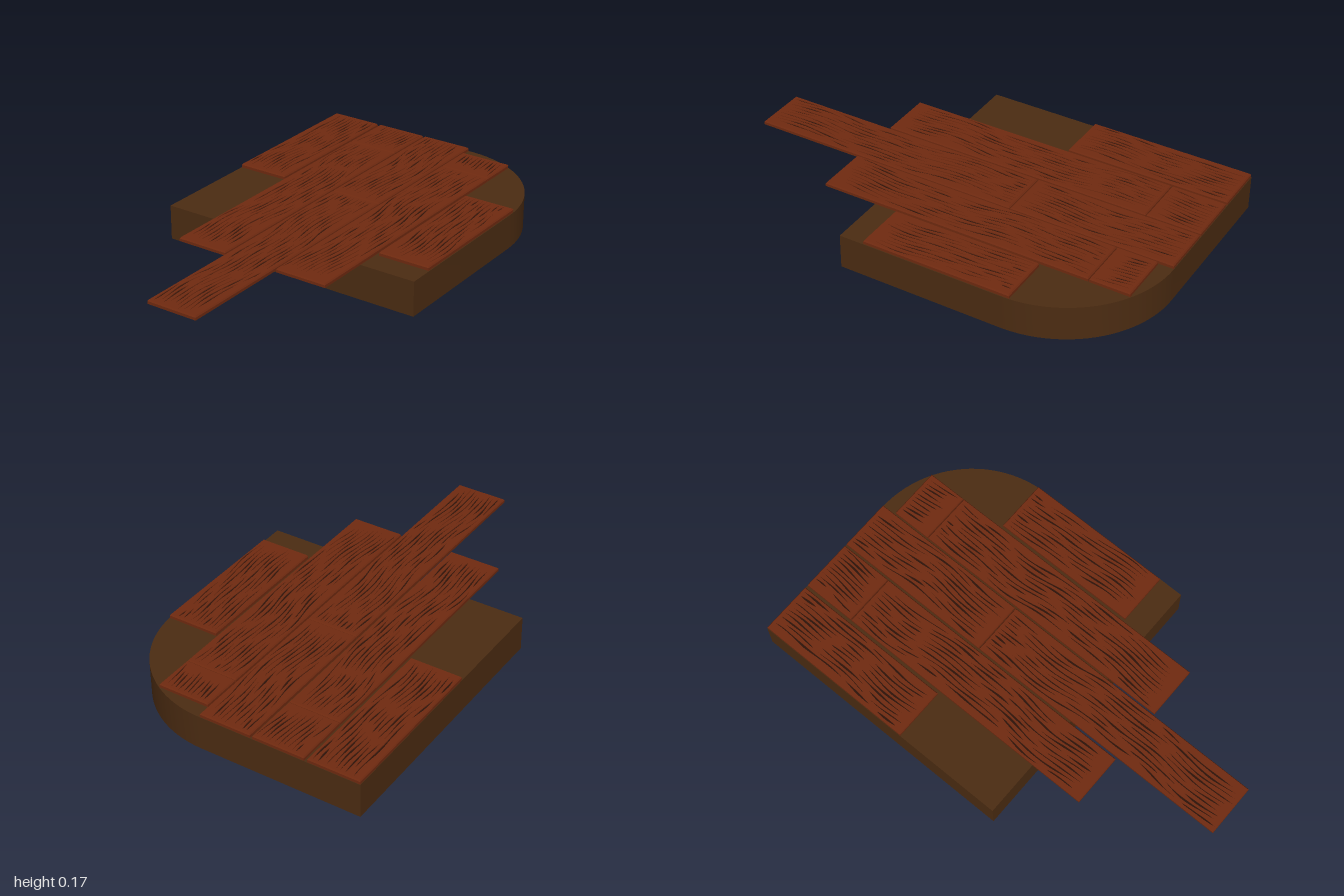
import * as THREE from 'three';
import { toCreasedNormals } from 'three/addons/utils/BufferGeometryUtils.js';

const baseMat = new THREE.MeshStandardMaterial({ color: 0x4c2c12 });
const plankMat = new THREE.MeshStandardMaterial({ color: 0x702a10 });
const grainMat = new THREE.MeshStandardMaterial({ color: 0x2c1208 });

const BASE_TOP = 0.157, PLANK_H = 0.018, PLANK_W = 0.237;

// Seeded random numbers so the grain is always the same
function seeded(seed) {
  let s = seed * 7919 + 13;
  return (a, b) => {
    s = (s * 16807) % 2147483647;
    return a + (b - a) * (s / 2147483647);
  };
}

// Solid ground block with one rounded back corner
function makeBase() {
  const shape = new THREE.Shape();
  shape.moveTo(-0.62, -0.25);
  shape.lineTo(0.62, -0.25);
  shape.lineTo(0.62, 0.5);
  shape.absarc(0.12, 0.5, 0.5, 0, Math.PI / 2, false);
  shape.lineTo(-0.62, 1);
  shape.closePath();
  const geo = new THREE.ExtrudeGeometry(shape, { depth: BASE_TOP, bevelEnabled: false, curveSegments: 12 });
  geo.rotateX(-Math.PI / 2);
  const mesh = new THREE.Mesh(toCreasedNormals(geo, 0.5), baseMat);
  mesh.name = 'base';
  return mesh;
}

// Wavy slots, tapered at both ends, that run along a plank in separate lanes
function grainSlots(length, rand) {
  const p = rand(0, 6), q = rand(0, 6), lanes = 10, slots = [];
  const warp = y => 0.011 * Math.sin(7 * y + p) + 0.004 * Math.sin(17 * y + q);
  const end = length / 2 - 0.01;
  for (let i = 0; i < lanes; i++) {
    const lane = -0.091 + (0.182 * i) / (lanes - 1);
    let y = -end + rand(0, 0.06);
    while (y < end - 0.04) {
      const len = Math.min(rand(0.1, 0.42), end - y);
      const half = rand(0.003, 0.0052), n = Math.max(6, Math.ceil(len / 0.025));
      const left = [], right = [];
      for (let k = 0; k <= n; k++) {
        const t = k / n, yy = y + len * t;
        const w = half * Math.pow(Math.sin(Math.PI * t), 0.6) * (0.8 + 0.2 * Math.sin(40 * yy + i));
        const x = lane + warp(yy) + 0.002 * Math.sin(23 * yy + i * 2);
        right.push(new THREE.Vector2(x + w, yy));
        if (k > 0 && k < n) left.unshift(new THREE.Vector2(x - w, yy));
      }
      slots.push(new THREE.Path([...right, ...left]));
      y += len + rand(0.012, 0.05);
    }
  }
  return slots;
}

// Plank with carved grain, softened upper rim and a dark core showing in the slots
function makePlank(x, zBack, zFront, index) {
  const rand = seeded(index + 1);
  const length = zFront - zBack - 0.004, hw = PLANK_W / 2, hl = length / 2;
  const shape = new THREE.Shape([
    new THREE.Vector2(-hw, -hl), new THREE.Vector2(hw, -hl),
    new THREE.Vector2(hw, hl), new THREE.Vector2(-hw, hl),
  ]);
  shape.holes = grainSlots(length, rand);
  const geo = new THREE.ExtrudeGeometry(shape, { depth: PLANK_H, steps: 3, bevelEnabled: false });
  geo.rotateX(-Math.PI / 2);
  const pos = geo.attributes.position;
  for (let i = 0; i < pos.count; i++) {
    if (pos.getY(i) < PLANK_H * 0.9) continue;
    const rim = 0.004;
    pos.setX(i, THREE.MathUtils.clamp(pos.getX(i), rim - hw, hw - rim));
    pos.setZ(i, THREE.MathUtils.clamp(pos.getZ(i), rim - hl, hl - rim));
  }
  geo.computeVertexNormals();
  const wood = new THREE.Mesh(geo, plankMat);
  wood.name = 'plankWood';
  const core = new THREE.Mesh(new THREE.BoxGeometry(PLANK_W - 0.01, PLANK_H - 0.007, length - 0.01), grainMat);
  core.position.y = PLANK_H / 2;
  core.name = 'plankGrain';
  const plank = new THREE.Group();
  plank.add(wood, core);
  plank.position.set(x, BASE_TOP, (zBack + zFront) / 2);
  plank.name = 'plank' + (index + 1);
  return plank;
}

export function createModel() {
  const model = new THREE.Group();
  model.name = 'plankPlatform';
  model.add(makeBase());
  // x centre, back end, front end
  const planks = [
    [-0.5, -1, -0.25],
    [-0.248, -1, -0.75], [-0.248, -0.75, 0.5],
    [0, -1, -0.25], [0, -0.25, 1],
    [0.246, -0.935, -0.75], [0.246, -0.75, 0.5],
    [0.498, -0.54, 0.14],
  ];
  planks.forEach(([x, back, front], i) => model.add(makePlank(x, back, front, i)));
  return model;
}
